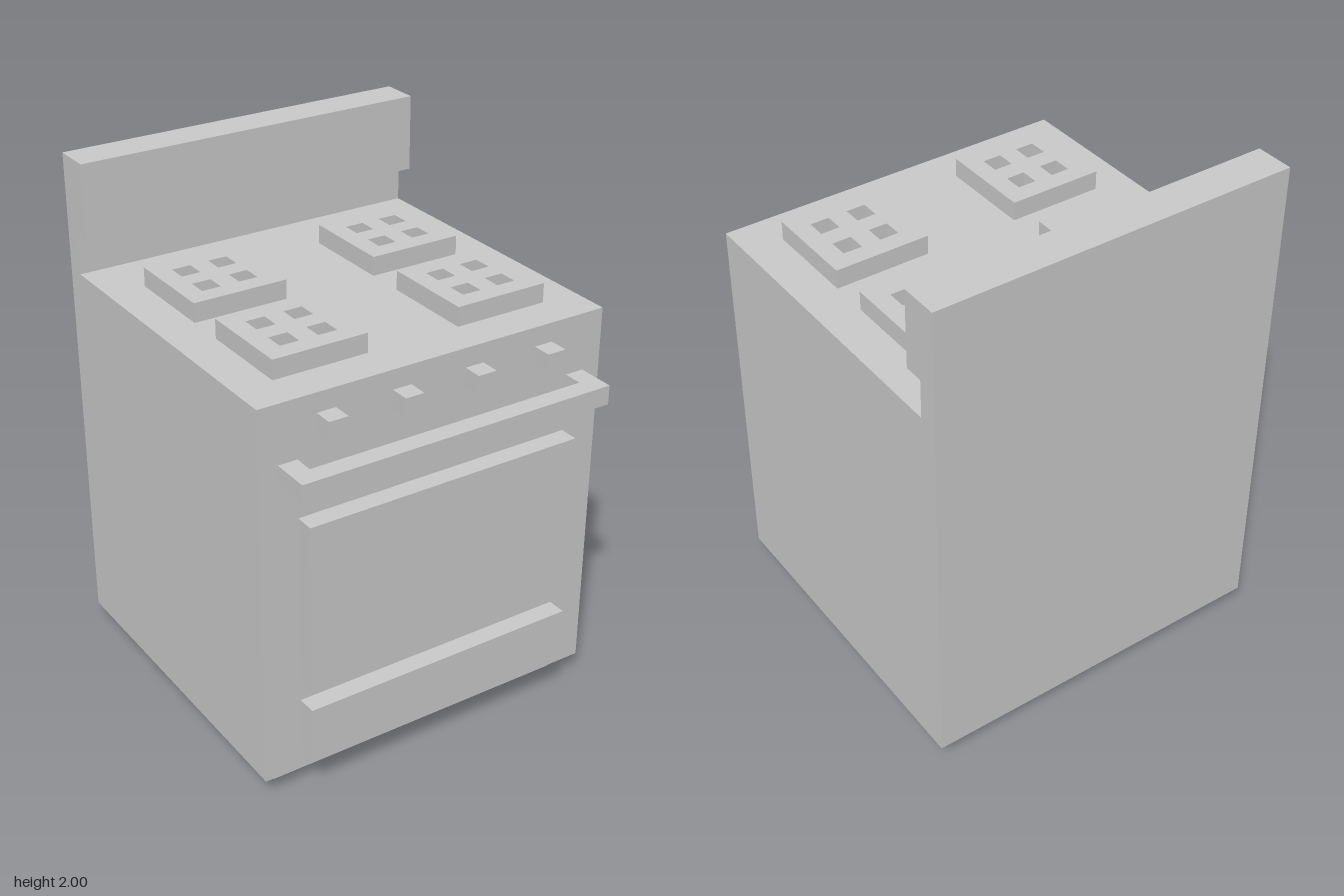
import * as THREE from 'three';

// Everything sits on a regular grid: the model is 27 cells tall.
const U = 2 / 27;
const material = new THREE.MeshStandardMaterial({ color: 0xcccccc, flatShading: true });

function addMesh(parent, name, geometry) {
  const mesh = new THREE.Mesh(geometry, material);
  mesh.name = name;
  parent.add(mesh);
  return mesh;
}

// Box given by its lower and upper bounds in cells
function addBox(parent, name, [x0, x1], [y0, y1], [z0, z1]) {
  const geometry = new THREE.BoxGeometry((x1 - x0) * U, (y1 - y0) * U, (z1 - z0) * U);
  const mesh = addMesh(parent, name, geometry);
  mesh.position.set((x0 + x1) / 2, (y0 + y1) / 2, (z0 + z1) / 2).multiplyScalar(U);
  return mesh;
}

const toPoints = (pairs) => pairs.map(([a, b]) => new THREE.Vector2(a * U, b * U));
const square = (a, b, s) => toPoints([[a, b], [a + s, b], [a + s, b + s], [a, b + s]]);

// Cabinet and overhanging backsplash share one side profile (z, y)
function cabinetGeometry() {
  const profile = new THREE.Shape(toPoints([
    [-10, 1], [8, 1], [8, 21], [-9, 21], [-9, 23], [-8, 23], [-8, 27], [-10, 27],
  ]));
  const geometry = new THREE.ExtrudeGeometry(profile, { depth: 19 * U, bevelEnabled: false });
  geometry.translate(0, 0, -9.5 * U);
  return geometry.rotateY(-Math.PI / 2);
}

// Square burner plate, 5 x 5 cells, pierced by four square holes
function burnerGeometry() {
  const plate = new THREE.Shape(square(-2.5, -2.5, 5));
  for (const a of [-1.5, 0.5])
    for (const b of [-1.5, 0.5]) plate.holes.push(new THREE.Path(square(a, b, 1)));
  const geometry = new THREE.ExtrudeGeometry(plate, { depth: U, bevelEnabled: false });
  return geometry.rotateX(-Math.PI / 2);
}

export function createModel() {
  const stove = new THREE.Group();
  stove.name = 'stove';

  // Main body on a recessed plinth
  addMesh(stove, 'cabinetWithBacksplash', cabinetGeometry());
  addBox(stove, 'plinth', [-8.5, 8.5], [0, 1], [-9, 7]);

  // Front panels
  addBox(stove, 'ovenDoor', [-7.5, 7.5], [6, 15], [8, 9]);
  addBox(stove, 'drawer', [-7.5, 7.5], [2, 5], [8, 9]);

  // Door handle: a bar held off the front by a bracket at each end
  const handle = new THREE.Group();
  handle.name = 'handle';
  stove.add(handle);
  addBox(handle, 'handleBar', [-8.5, 8.5], [17, 18], [9, 10]);
  addBox(handle, 'handleBracketRight', [-8.5, -7.5], [17, 18], [8, 9]);
  addBox(handle, 'handleBracketLeft', [7.5, 8.5], [17, 18], [8, 9]);

  // Control knobs
  for (const x of [-6, -2, 2, 6])
    addBox(stove, 'knob', [x - 0.5, x + 0.5], [19, 20], [8, 9]);

  // Burners
  const burner = burnerGeometry();
  for (const x of [-5, 5])
    for (const z of [-3.5, 3.5])
      addMesh(stove, 'burner', burner).position.set(x * U, 21 * U, z * U);

  return stove;
}
